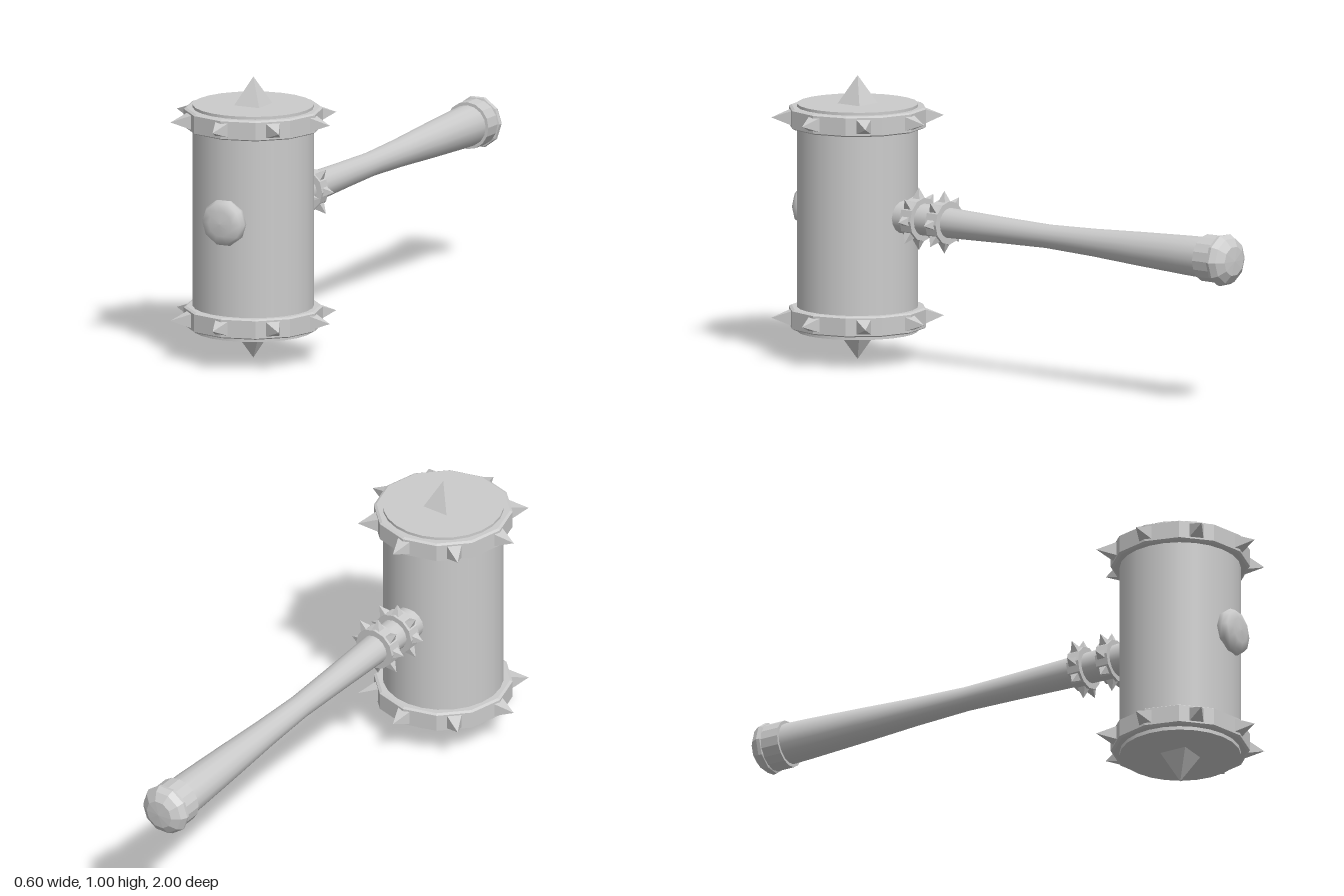
import * as THREE from 'three';

const smooth = new THREE.MeshStandardMaterial({ color: 0xcccccc });
const flat = new THREE.MeshStandardMaterial({ color: 0xcccccc, flatShading: true });
const AXIS_Y = 0.525, HEAD_Z = 0.7;

export function createModel() {
  const hammer = new THREE.Group();
  hammer.name = 'spikedHammer';

  const add = (parent, name, geometry, material) => {
    const mesh = new THREE.Mesh(geometry, material);
    mesh.name = name;
    parent.add(mesh);
    return mesh;
  };
  const group = (name, x, y, z) => {
    const g = new THREE.Group();
    g.name = name;
    g.position.set(x, y, z);
    hammer.add(g);
    return g;
  };
  // Lathe around y from [radius, height] pairs, with a vertex on the x axis
  const turned = (profile, sides) => new THREE.LatheGeometry(
    profile.map(([r, h]) => new THREE.Vector2(r, h)), sides, Math.PI / 2);
  // Square pyramid standing on y = 0
  const pyramid = (half, height) => new THREE.ConeGeometry(half * Math.SQRT2, height, 4)
    .rotateY(Math.PI / 4).translate(0, height / 2, 0);
  // Ring of outward spikes around y
  const spikeRing = (parent, count, radius, half, height) => {
    for (let i = 0; i < count; i++) {
      const g = pyramid(half, height).rotateZ(-Math.PI / 2)
        .translate(radius, 0, 0).rotateY(i * 2 * Math.PI / count);
      add(parent, 'spike', g, flat);
    }
  };

  // Head barrel
  const head = group('head', -0.002, 0, HEAD_Z);
  add(head, 'barrel', new THREE.CylinderGeometry(0.21, 0.21, 0.797, 24)
    .translate(0, 0.5035, 0), smooth);

  // Spiked bands and end spikes
  for (const s of [1, -1]) {
    const band = group(s > 0 ? 'upperBand' : 'lowerBand', -0.002, s > 0 ? 0.856 : 0.154, HEAD_Z);
    add(band, 'hoop', turned([[0.2, -0.036], [0.232, -0.036], [0.241, -0.031],
      [0.241, 0.031], [0.232, 0.036], [0.2, 0.036]], 12), flat);
    spikeRing(band, 8, 0.23, 0.026, 0.07);
    const tip = add(head, s > 0 ? 'topSpike' : 'bottomSpike', pyramid(0.05, 0.1), flat);
    tip.position.y = s > 0 ? 0.9 : 0.105;
    if (s < 0) tip.rotation.x = Math.PI;
  }

  // Domed stud on the front of the barrel
  const stud = group('frontStud', -0.003, AXIS_Y - 0.002, 0);
  stud.rotation.x = Math.PI / 2;
  add(stud, 'dome', turned([[0.065, 0.88], [0.08, 0.9], [0.083, 0.918],
    [0.074, 0.935], [0.045, 0.944], [0, 0.947]], 10), smooth);

  // Handle, turned along z
  const handle = group('handle', -0.003, AXIS_Y, 0);
  handle.rotation.x = Math.PI / 2;
  add(handle, 'grip', turned([[0.073, -0.9], [0.07, -0.8], [0.06, -0.58], [0.049, -0.37],
    [0.042, -0.16], [0.046, 0.03], [0.053, 0.28], [0.059, 0.52]], 16), smooth);
  add(handle, 'collar', turned([[0.06, -0.95], [0.083, -0.95], [0.083, -0.875], [0.06, -0.875]], 16), flat);
  add(handle, 'pommel', turned([[0, -1], [0.052, -0.996], [0.08, -0.977], [0.092, -0.955],
    [0.09, -0.943], [0.07, -0.937]], 10), flat);

  // Two spiked rings near the head
  for (const z of [0.31, 0.425]) {
    const ring = new THREE.Group();
    ring.name = 'handleRing';
    ring.position.y = z;
    handle.add(ring);
    add(ring, 'hoop', turned([[0.04, -0.024], [0.076, -0.024], [0.076, 0.024], [0.04, 0.024]], 12), flat);
    spikeRing(ring, 8, 0.07, 0.016, 0.04);
  }
  return hammer;
}
